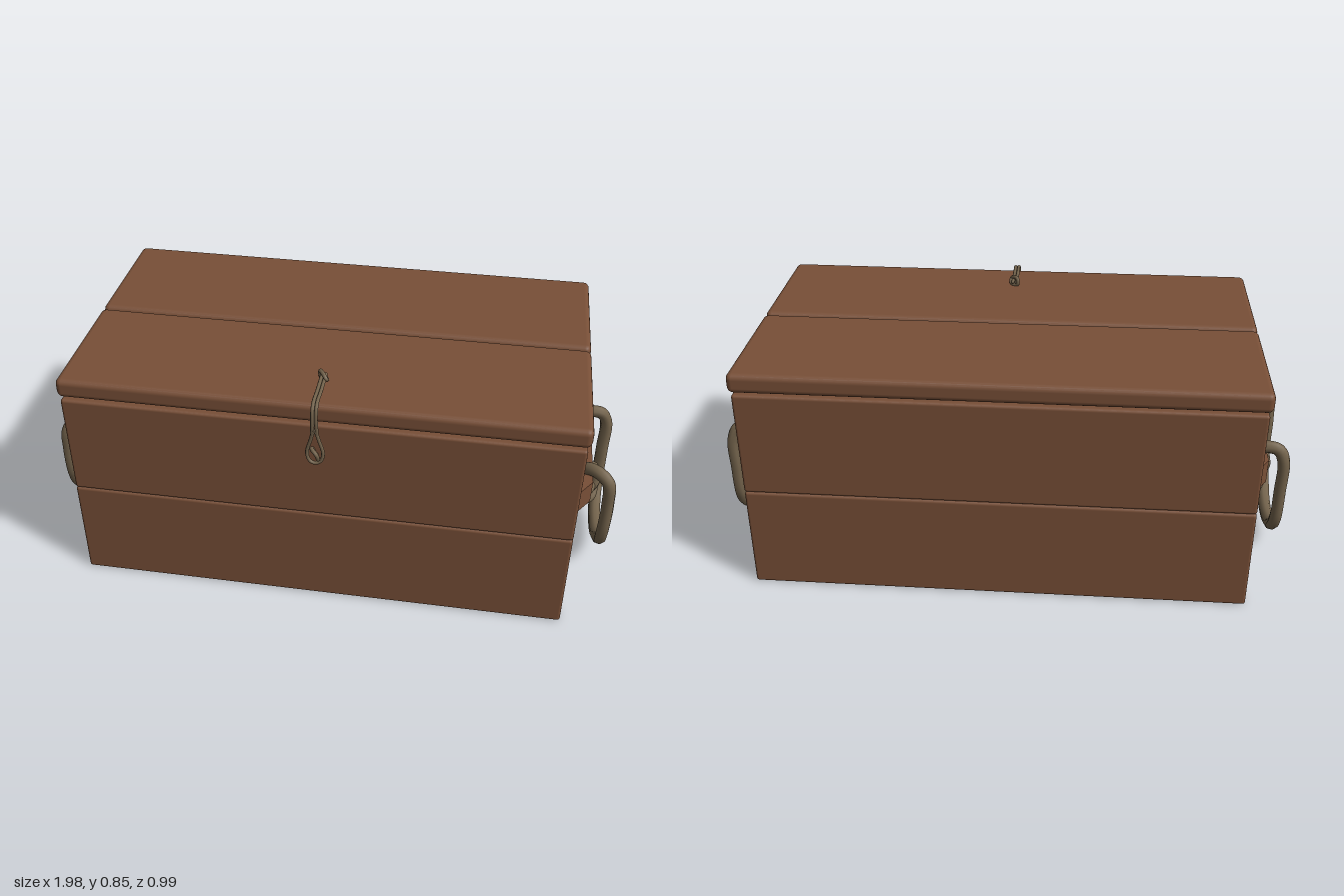
import * as THREE from 'three';
import { RoundedBoxGeometry } from 'three/addons/geometries/RoundedBoxGeometry.js';

const wood = new THREE.MeshStandardMaterial({ color: 0x784f37 });
wood.name = 'brown wood';
const rope = new THREE.MeshStandardMaterial({ color: 0x73634c });
rope.name = 'hemp rope';

export function createModel() {
  const chest = new THREE.Group();
  chest.name = 'chest';

  // Board between two corners, with softened edges
  function board(name, [x0, x1], [y0, y1], [z0, z1], r = 0.004) {
    const a = Math.min(x0, x1), b = Math.max(x0, x1);
    const m = new THREE.Mesh(new RoundedBoxGeometry(b - a, y1 - y0, z1 - z0, 2, r), wood);
    m.position.set((a + b) / 2, (y0 + y1) / 2, (z0 + z1) / 2);
    m.name = name;
    chest.add(m);
  }

  // Rope through a few points, with rounded ends
  function cord(name, points, radius, parent, closed = false) {
    const pts = points.map(p => new THREE.Vector3(...p));
    const curve = new THREE.CatmullRomCurve3(pts, closed, 'centripetal');
    const m = new THREE.Mesh(new THREE.TubeGeometry(curve, pts.length * 6, radius, 8, closed), rope);
    m.name = name;
    parent.add(m);
    if (closed) return;
    for (const p of [pts[0], pts[pts.length - 1]]) {
      const cap = new THREE.Mesh(new THREE.SphereGeometry(radius, 8, 6), rope);
      cap.position.copy(p);
      cap.name = name + 'End';
      parent.add(cap);
    }
  }

  // Front and back planks, two high
  for (const [y0, y1] of [[0, 0.37], [0.37, 0.738]]) {
    board('frontPlank', [-0.845, 0.845], [y0, y1], [0.395, 0.45], 0.01);
    board('backPlank', [-0.845, 0.845], [y0, y1], [-0.49, -0.435], 0.01);
  }

  // Floor, set slightly up inside the walls
  board('floor', [-0.82, 0.82], [0.012, 0.04], [-0.437, 0.397]);

  // Lid planks with a groove between them
  board('lidFrontPlank', [-0.855, 0.855], [0.745, 0.813], [-0.021, 0.45], 0.02);
  board('lidBackPlank', [-0.855, 0.855], [0.745, 0.813], [-0.495, -0.027], 0.02);

  for (const s of [1, -1]) {
    // End wall planks; the top one has a slotted middle and two raised tabs
    const wall = [s * 0.785, s * 0.83];
    board('endPlank', wall, [0.005, 0.245], [-0.43, 0.39]);
    board('endPlank', wall, [0.245, 0.495], [-0.43, 0.39]);
    board('endPlank', wall, [0.495, 0.582], [-0.43, 0.39]);
    board('endMiddle', [s * 0.785, s * 0.826], [0.578, 0.74], [-0.2, 0.157]);
    board('endUpperFront', wall, [0.578, 0.738], [0.157, 0.39]);
    board('endUpperBack', wall, [0.578, 0.738], [-0.43, -0.2]);
    board('frontTab', [s * 0.785, s * 0.857], [0.733, 0.785], [0.157, 0.348]);
    board('backTab', [s * 0.785, s * 0.857], [0.733, 0.785], [-0.388, -0.2]);

    // Handle cleat, tapered toward its outer face
    const plan = new THREE.Shape([
      [0.825, 0.275], [0.855, 0.275], [0.907, 0.2], [0.907, -0.24], [0.855, -0.315], [0.825, -0.315],
    ].map(([x, z]) => new THREE.Vector2(s * x, z)));
    const cleatGeo = new THREE.ExtrudeGeometry(plan, { depth: 0.085, bevelEnabled: false });
    cleatGeo.rotateX(Math.PI / 2);
    const cleat = new THREE.Mesh(cleatGeo, wood);
    cleat.position.y = 0.425;
    cleat.name = 'handleCleat';
    chest.add(cleat);

    // Rope handle: over the cleat, hanging loop, and the knot beneath
    const handle = new THREE.Group();
    handle.name = 'ropeHandle';
    const side = pts => pts.map(([x, y, z]) => [s * x, y, z]);
    cord('handleLoop', side([
      [0.875, 0.40, 0.125], [0.88, 0.435, 0.14], [0.92, 0.45, 0.175], [0.958, 0.425, 0.198],
      [0.968, 0.34, 0.2], [0.968, 0.22, 0.196], [0.968, 0.15, 0.165], [0.966, 0.1, 0.1],
      [0.964, 0.075, 0.03], [0.964, 0.073, -0.07], [0.966, 0.1, -0.145], [0.968, 0.16, -0.185],
      [0.968, 0.28, -0.195], [0.966, 0.4, -0.195], [0.945, 0.44, -0.19], [0.9, 0.447, -0.185],
      [0.872, 0.435, -0.18], [0.868, 0.4, -0.175],
    ]), 0.022, handle);
    cord('knotFrontStrand', side([
      [0.875, 0.35, 0.15], [0.885, 0.315, 0.12], [0.895, 0.3, 0.06], [0.905, 0.3, 0.0],
      [0.92, 0.315, -0.03], [0.935, 0.3, -0.04], [0.935, 0.26, -0.02], [0.93, 0.215, 0.015],
      [0.9, 0.205, 0.04], [0.88, 0.23, 0.08], [0.895, 0.26, 0.075], [0.92, 0.265, 0.03],
      [0.925, 0.255, -0.03], [0.91, 0.235, -0.095],
    ]), 0.018, handle);
    cord('knotBackStrand', side([
      [0.872, 0.35, -0.175], [0.885, 0.31, -0.15], [0.892, 0.29, -0.08], [0.89, 0.275, -0.02],
      [0.895, 0.3, 0.02], [0.925, 0.315, -0.005], [0.94, 0.285, 0.0], [0.925, 0.25, 0.01],
      [0.89, 0.225, 0.0],
    ]), 0.018, handle);
    chest.add(handle);
  }

  // Cord clasp: lid knot, cord over the edge, teardrop loop and front toggle
  const clasp = new THREE.Group();
  clasp.name = 'cordClasp';
  for (const dx of [-0.006, 0.006]) {
    cord('claspCord', [
      [dx, 0.826, 0.29], [dx, 0.823, 0.38], [dx, 0.825, 0.445], [dx, 0.81, 0.467],
      [dx, 0.77, 0.474], [dx * 1.3, 0.72, 0.47],
    ], 0.006, clasp);
  }
  cord('claspLoop', [
    [0, 0.735, 0.471], [0.014, 0.69, 0.467], [0.026, 0.64, 0.466], [0.018, 0.61, 0.467],
    [0, 0.602, 0.468], [-0.018, 0.61, 0.467], [-0.026, 0.64, 0.466], [-0.014, 0.69, 0.467],
  ], 0.006, clasp, true);
  cord('lidKnot', [
    [0.01, 0.816, 0.3], [0.012, 0.83, 0.322], [0, 0.84, 0.308], [-0.012, 0.838, 0.29], [-0.01, 0.818, 0.29],
  ], 0.007, clasp, true);
  cord('frontToggle', [
    [0, 0.625, 0.452], [0.012, 0.625, 0.478], [0.008, 0.65, 0.488], [-0.008, 0.66, 0.475], [-0.01, 0.645, 0.452],
  ], 0.007, clasp, true);
  chest.add(clasp);

  return chest;
}
